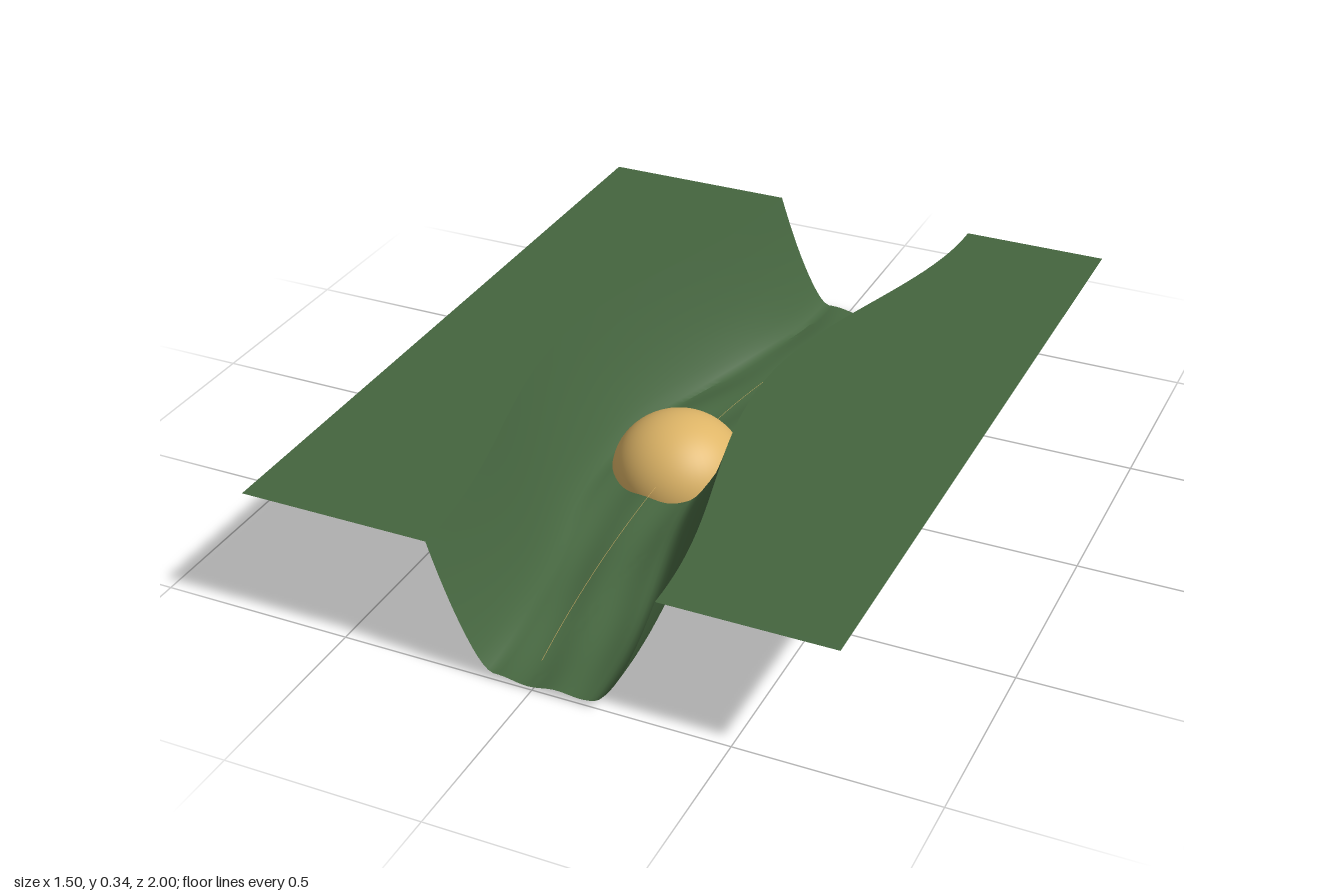
import * as THREE from 'three';
import { toCreasedNormals } from 'three/addons/utils/BufferGeometryUtils.js';

const HALF_X = 0.75, HALF_Z = 1, RIM_Y = 0.34;
const RIM = 0.287, FLOOR = 0.13; // half widths of the valley at its rim and floor

// Winding centre line of the valley
function centreX(z) {
  return z < 0 ? -0.03 - 0.1 * Math.cos(Math.PI * z) : -0.05 - 0.08 * Math.cos(Math.PI * z);
}

// Height across the valley: gently lumpy floor, concave banks
function valleyHeight(d, z) {
  const a = Math.abs(d);
  const t = Math.max(0, (a - FLOOR) / (RIM - FLOOR));
  const lump = 0.004 * Math.sin(d * 45 + 2 * Math.sin(z * 3)) + 0.003 * Math.sin(z * 13 + d * 17);
  const floor = 0.012 + 0.006 * Math.min(1, a / FLOOR) ** 2 + lump * (1 - Math.min(1, t * 2));
  return floor + (RIM_Y - floor) * Math.pow(t, 1.53);
}

// Sheet of land: flat plateaus with columns of vertices following the valley
function landGeometry() {
  const cols = 46, rows = 90;
  const geo = new THREE.PlaneGeometry(2 * HALF_X, 2 * HALF_Z, cols, rows).rotateX(-Math.PI / 2);
  const p = geo.attributes.position;
  for (let k = 0; k < p.count; k++) {
    const i = k % (cols + 1), z = p.getZ(k);
    if (i === 0 || i === cols) {
      p.setY(k, RIM_Y);
      continue;
    }
    const d = -RIM + (2 * RIM * (i - 1)) / (cols - 2);
    p.setX(k, centreX(z) + d);
    p.setY(k, valleyHeight(d, z));
  }
  return toCreasedNormals(geo, 0.6);
}

export function createModel() {
  const group = new THREE.Group();
  const green = new THREE.MeshStandardMaterial({ color: 0x45653f, side: THREE.DoubleSide });
  green.name = 'grass green';
  const sand = new THREE.MeshStandardMaterial({ color: 0xdeb567 });
  sand.name = 'sand';

  const add = (name, geo, mat) => {
    const mesh = new THREE.Mesh(geo, mat);
    mesh.name = name;
    group.add(mesh);
    return mesh;
  };

  add('valleyLand', landGeometry(), green);

  // Open-bottomed mound on the valley floor
  const mound = add('mound', new THREE.SphereGeometry(0.178, 48, 24, 0, Math.PI * 2, 0, Math.PI / 2), sand);
  mound.scale.y = 0.92;
  mound.position.x = -0.09;

  // Hair-thin trail line above the floor
  const trail = [];
  for (let i = 0; i <= 20; i++) {
    const z = -0.8 + i * 0.0875;
    const x = z < 0 ? -0.08 + 0.22 * z * z : -0.08 + 0.09 * z * z;
    trail.push(new THREE.Vector3(x, 0.05, z));
  }
  add('trail', new THREE.TubeGeometry(new THREE.CatmullRomCurve3(trail), 60, 0.0006, 4), sand);

  return group;
}
